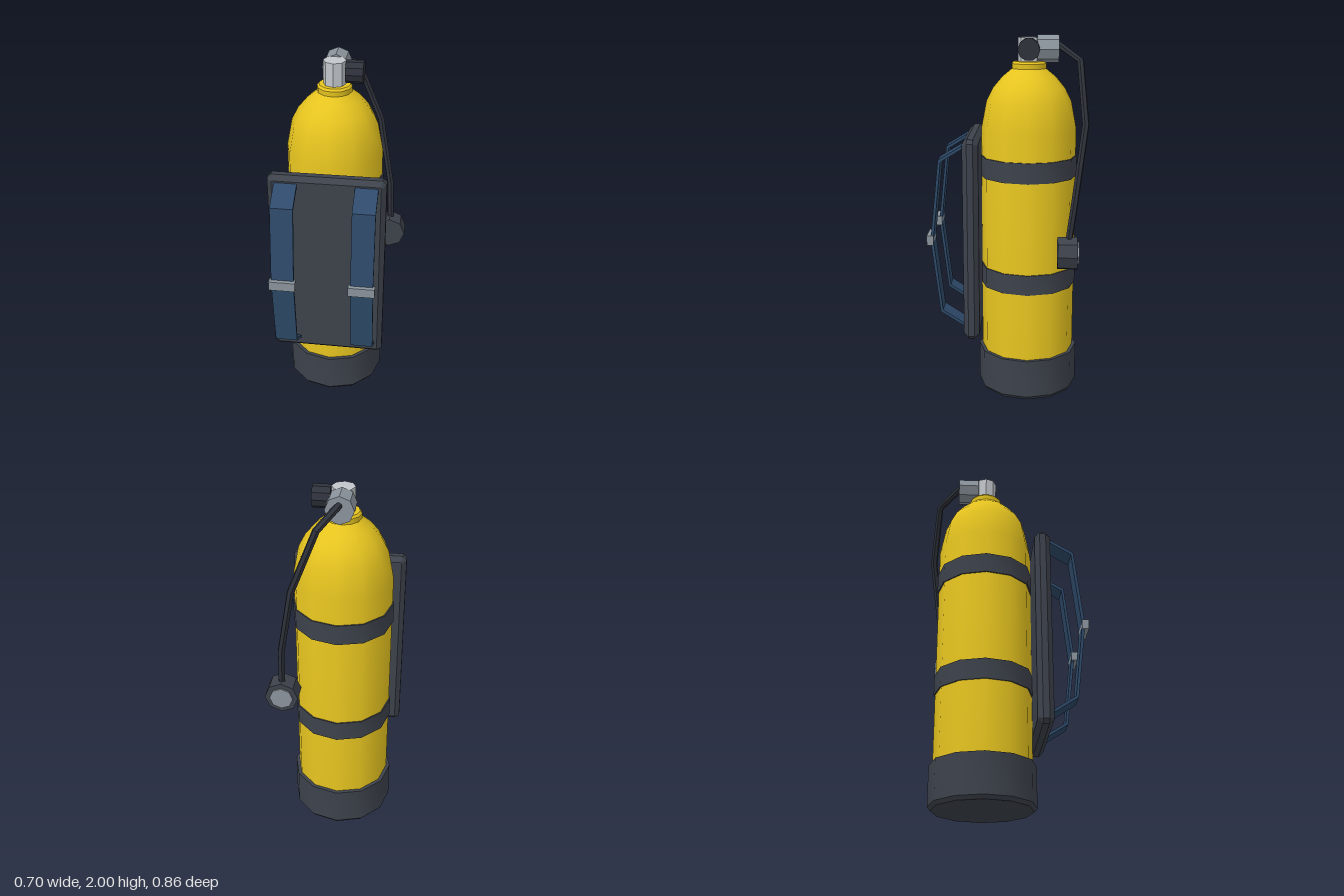
import * as THREE from 'three';
import { toCreasedNormals } from 'three/addons/utils/BufferGeometryUtils.js';

const CX = -0.04, CZ = -0.11; // tank axis

const mat = (name, color, flatShading = false) => {
  const m = new THREE.MeshStandardMaterial({ color, flatShading });
  m.name = name;
  return m;
};

// Straight-sided path through a few points
class Polyline extends THREE.Curve {
  constructor(points) { super(); this.points = points; }
  getPoint(t, target = new THREE.Vector3()) {
    const n = this.points.length - 1;
    const i = Math.min(Math.floor(t * n + 1e-9), n - 1);
    return target.lerpVectors(this.points[i], this.points[i + 1], t * n - i);
  }
  getPointAt(t, target) { return this.getPoint(t, target); }
  getTangentAt(t, target) { return this.getTangent(t, target); }
}

export function createModel() {
  const model = new THREE.Group();
  model.name = 'divingTank';

  const yellow = mat('tankYellow', 0xe6c41f);
  const rubber = mat('rubberGrey', 0x3d424b);
  const black = mat('hoseBlack', 0x2e323a);
  const steel = mat('paleSteel', 0xc2c6cb);
  const metal = mat('metalGrey', 0x8b949c);
  const blue = mat('paddingBlue', 0x2e4a6a);

  const add = (name, geometry, material, x = 0, y = 0, z = 0) => {
    const mesh = new THREE.Mesh(geometry, material);
    mesh.name = name;
    mesh.position.set(x, y, z);
    model.add(mesh);
    return mesh;
  };
  const lathe = (points) => toCreasedNormals(
    new THREE.LatheGeometry(points.map(([r, y]) => new THREE.Vector2(r, y)), 12), 0.6);
  const prism = (r, h, sides) => toCreasedNormals(new THREE.CylinderGeometry(r, r, h, sides), 0.3);

  // Tank body, boot and retaining bands
  add('tank', lathe([[0, 0.02], [0.26, 0.02], [0.26, 1.5], [0.231, 1.65], [0.195, 1.72], [0.145, 1.78],
    [0.09, 1.825], [0, 1.83]]), yellow, CX, 0, CZ);
  add('neckRing', lathe([[0.09, 1.8], [0.093, 1.83], [0.093, 1.85], [0.083, 1.862], [0, 1.862]]),
    yellow, CX, 0, CZ);
  add('boot', lathe([[0, 0], [0.265, 0], [0.28, 0.02], [0.28, 0.235], [0.255, 0.235]]), rubber, CX, 0, CZ);
  for (const y of [0.675, 1.295]) {
    add('tankBand', lathe([[0.255, -0.056], [0.267, -0.056], [0.267, 0.056], [0.255, 0.056]]),
      rubber, CX, y, CZ);
  }

  // Valve, hand knob and first stage regulator
  add('valve', prism(0.06, 0.135, 8), steel, CX, 1.92, CZ);
  add('valveKnob', prism(0.059, 0.092, 10), black, 0.066, 1.93, CZ).rotation.z = -Math.PI / 2;
  add('firstStage', prism(0.073, 0.115, 8), metal, CX, 1.927, -0.2125).rotation.x = Math.PI / 2;

  // Hose and second stage with purge button
  const path = [[-0.04, 1.955, -0.26], [0.055, 1.87, -0.382], [0.18, 1.55, -0.41],
    [0.25, 1.17, -0.36], [0.262, 0.93, -0.328]].map((p) => new THREE.Vector3(...p));
  add('hose', toCreasedNormals(new THREE.TubeGeometry(new Polyline(path), path.length - 1, 0.019, 6), 0.3), black);
  add('secondStage', prism(0.09, 0.105, 8), rubber, 0.258, 0.875, -0.3225).rotation.x = Math.PI / 2;
  add('purgeButton', prism(0.063, 0.009, 8), metal, 0.258, 0.875, -0.379).rotation.x = Math.PI / 2;

  // Back plate with bevelled edges
  const b = 0.026, w = 0.31 - b, h = 0.5525 - b, c = 0.006;
  const outline = new THREE.Shape([[-w + c, -h], [w - c, -h], [w, -h + c], [w, h - c], [w - c, h],
    [-w + c, h], [-w, h - c], [-w, -h + c]].map((p) => new THREE.Vector2(...p)));
  const plate = new THREE.ExtrudeGeometry(outline, {
    depth: 0.085 - 2 * b, bevelEnabled: true, bevelThickness: b, bevelSize: b, bevelSegments: 1,
  });
  add('backPlate', toCreasedNormals(plate, 0.3), rubber, CX, 0.9275, 0.15 + b);

  // Padded shoulder straps: a bent ribbon swept across x, plus a buckle
  const ribbon = new THREE.Shape([[0.23, 1.448], [0.363, 1.368], [0.411, 0.93], [0.363, 0.523], [0.23, 0.437],
    [0.23, 0.455], [0.35, 0.533], [0.395, 0.93], [0.35, 1.356], [0.23, 1.43]]
    .map((p) => new THREE.Vector2(...p)));
  const strap = new THREE.ExtrudeGeometry(ribbon, { depth: 0.12, bevelEnabled: false });
  strap.translate(0, 0, -0.06).rotateY(-Math.PI / 2);
  for (const side of [-1, 1]) {
    const x = CX + side * 0.21;
    add('shoulderStrap', strap, blue, x);
    add('buckle', new THREE.BoxGeometry(0.14, 0.052, 0.036), metal, x, 0.931, 0.412);
  }

  return model;
}
